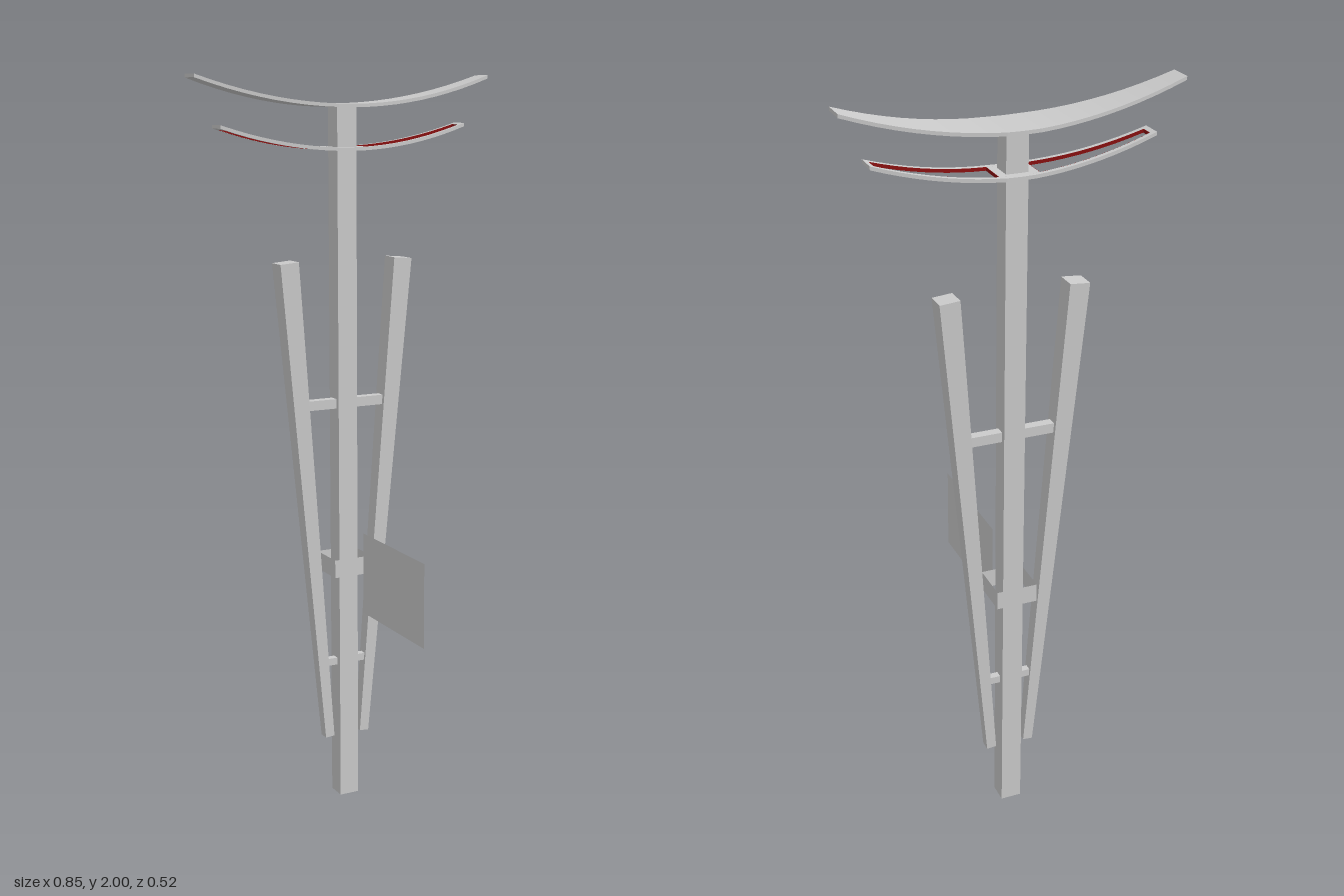
import * as THREE from 'three';

const grey = new THREE.MeshStandardMaterial({ color: 0xcccccc, flatShading: true });
const thin = new THREE.MeshStandardMaterial({ color: 0xcccccc, flatShading: true, side: THREE.DoubleSide });
const red = new THREE.MeshStandardMaterial({ color: 0x8b1010, flatShading: true });
const Z = -0.192; // the post line

export function createModel() {
  const group = new THREE.Group();

  function add(name, geometry, x = 0, y = 0, z = Z, material = grey) {
    const mesh = new THREE.Mesh(geometry, material);
    mesh.name = name;
    mesh.position.set(x, y, z);
    group.add(mesh);
    return mesh;
  }

  // Upward-curving plank between x0 and x1; zA and zB give its two edges along x
  function plank(name, x0, x1, zA, zB, bend, thick, segments, material = grey) {
    const geo = new THREE.BoxGeometry(1, 1, 1, segments, 1, 1);
    const p = geo.attributes.position;
    for (let i = 0; i < p.count; i++) {
      const x = x0 + (x1 - x0) * (p.getX(i) + 0.5);
      const z = p.getZ(i) < 0 ? zA(x) : zB(x);
      p.setXYZ(i, x, bend(x) + p.getY(i) * thick, z);
    }
    geo.computeVertexNormals();
    return add(name, geo, 0, 0, Z, material);
  }

  // Half width that stays level in the middle, then tapers to the ends
  const taper = (mid, end, flat, half) => (x) =>
    mid + (end - mid) * Math.max(0, (Math.abs(x) - flat) / (half - flat));
  const arc = (base, rise, half) => (x) => base + rise * (x / half) ** 2;

  // Post, with an open collar and a sign panel in front
  add('post', new THREE.BoxGeometry(0.056, 1.92, 0.054), 0, 0.96);
  const collar = new THREE.CylinderGeometry(0.055 * Math.SQRT2, 0.055 * Math.SQRT2, 0.05, 4, 1, true);
  collar.rotateY(Math.PI / 4);
  add('collar', collar, 0, 0.68, Z, thin);
  const panel = new THREE.PlaneGeometry(0.335, 0.225);
  panel.rotateY(Math.PI / 2);
  add('signPanel', panel, 0, 0.678, 0.092, thin);

  // Leaning side legs, thicker at the top
  for (const s of [1, -1]) {
    const length = 1.346;
    const geo = new THREE.BoxGeometry(0.053, length, 0.054);
    const p = geo.attributes.position;
    for (let i = 0; i < p.count; i++) {
      if (p.getY(i) < 0) {
        p.setX(i, p.getX(i) * 0.5);
        p.setZ(i, p.getZ(i) * 0.54);
      }
    }
    geo.computeVertexNormals();
    const leg = add(s > 0 ? 'leftLeg' : 'rightLeg', geo, s * 0.111, 0.848);
    leg.rotation.z = -s * Math.atan2(0.115, 1.345);
  }

  // Cross bars joining the legs to the post
  add('upperCrossBar', new THREE.BoxGeometry(0.235, 0.026, 0.026), 0, 1.132);
  add('lowerCrossBar', new THREE.BoxGeometry(0.12, 0.02, 0.02), 0, 0.397);

  // Solid top roof
  const roofW = taper(0.067, 0.032, 0.0425, 0.425);
  plank('topRoof', -0.425, 0.425, (x) => -roofW(x), roofW, arc(1.921, 0.074, 0.425), 0.009, 20);

  // Lower roof frame with an opening on either side of the post
  const half = 0.355, inner = 0.05, outer = 0.343, rail = 0.012;
  const frameW = taper(0.054, 0.028, 0.0355, half);
  const holeW = (x) => frameW(x) - rail;
  const bend = arc(1.81, 0.059, half);
  for (const s of [1, -1]) {
    const lo = s > 0 ? (x) => holeW(x) : (x) => -frameW(x);
    const hi = s > 0 ? (x) => frameW(x) : (x) => -holeW(x);
    plank('frameRail', -half, half, lo, hi, bend, 0.009, 20);
    // End piece of the frame
    const [a, b] = s > 0 ? [outer, half] : [-half, -outer];
    plank('frameEnd', a, b, (x) => -holeW(x), holeW, bend, 0.009, 1);

    // Red lining around the opening
    const [c, d] = s > 0 ? [inner, outer] : [-outer, -inner];
    for (const t of [1, -1]) {
      const near = (x) => t * holeW(x), far = (x) => t * (holeW(x) - 0.001);
      plank('openingLining', c, d, t > 0 ? far : near, t > 0 ? near : far, bend, 0.0085, 9, red);
    }
    for (const e of [inner + 0.0005, outer - 0.0005]) {
      plank('openingLining', s * e - 0.0005, s * e + 0.0005, (x) => -holeW(x), holeW, bend, 0.0085, 1, red);
    }
  }
  plank('frameCentre', -inner, inner, (x) => -holeW(x), holeW, bend, 0.009, 4);

  return group;
}
